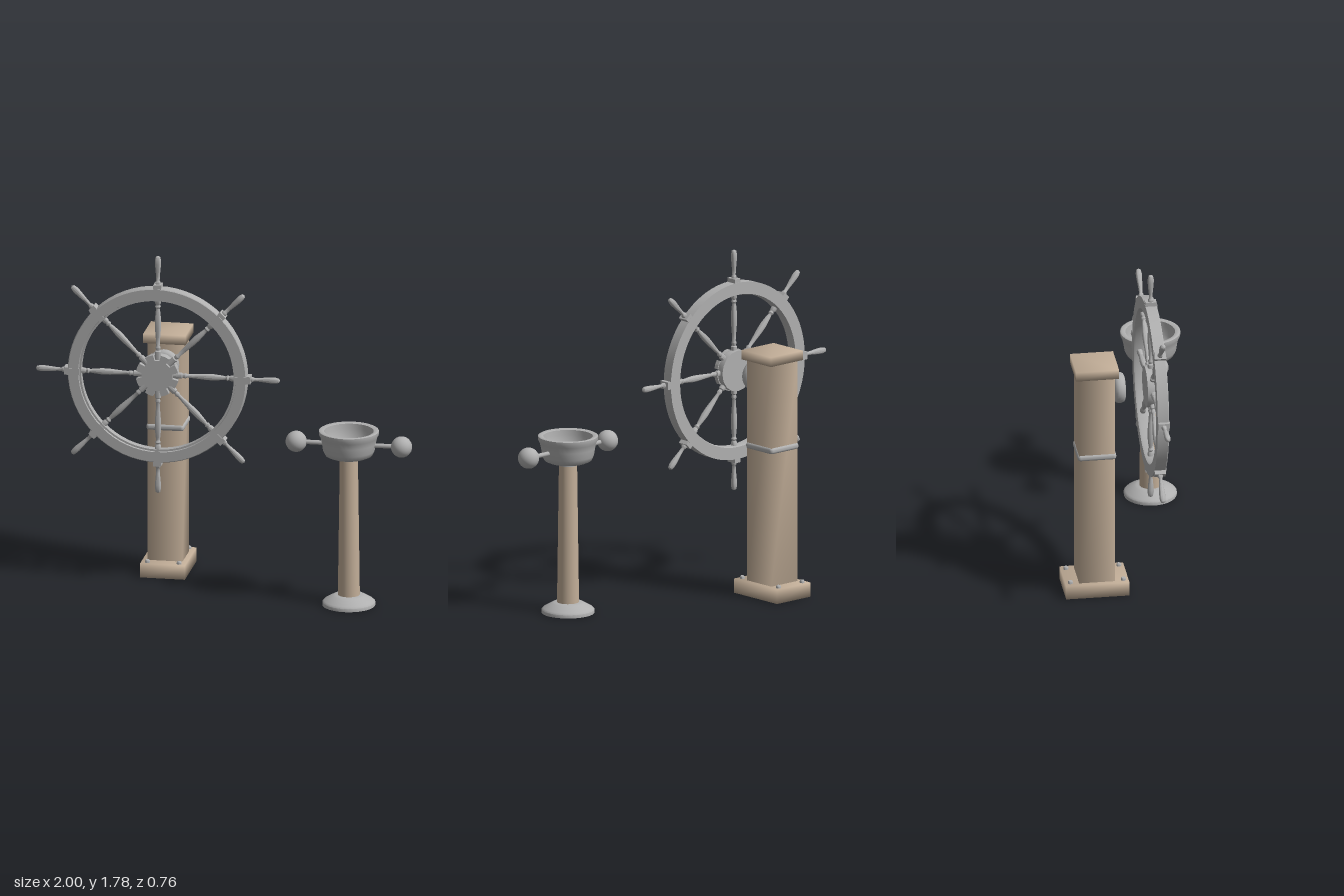
import * as THREE from 'three';
import { mergeVertices, toCreasedNormals } from 'three/addons/utils/BufferGeometryUtils.js';
import { RoundedBoxGeometry } from 'three/addons/geometries/RoundedBoxGeometry.js';

const wood = new THREE.MeshStandardMaterial({ color: 0xc2ae98 });
wood.name = 'wood';
const metal = new THREE.MeshStandardMaterial({ color: 0xb0b0b0 });
metal.name = 'metal';

function add(parent, name, geometry, material, x = 0, y = 0, z = 0) {
  const mesh = new THREE.Mesh(geometry, material);
  mesh.name = name;
  mesh.position.set(x, y, z);
  parent.add(mesh);
  return mesh;
}

function group(parent, name, x, y, z) {
  const g = new THREE.Group();
  g.name = name;
  g.position.set(x, y, z);
  parent.add(g);
  return g;
}

// Turned part around y, from [radius, height] pairs
function turned(points, segments = 32, crease = 0.7) {
  const g = new THREE.LatheGeometry(points.map(([r, h]) => new THREE.Vector2(r, h)), segments);
  return toCreasedNormals(g, crease);
}

// Box with normals shared across its corners
function softBox(w, h, d) {
  const g = new THREE.BoxGeometry(w, h, d);
  g.deleteAttribute('uv');
  g.deleteAttribute('normal');
  const merged = mergeVertices(g);
  merged.computeVertexNormals();
  return merged;
}

// Gear outline: eight teeth between the spokes, notched at each spoke
function notchedShape(outer, inner) {
  const points = [];
  for (let i = 0; i < 8; i++) {
    const a = (i * Math.PI) / 4;
    for (const [r, da] of [[inner, -0.15], [inner, 0.15], [outer, 0.19], [outer, 0.39], [outer, 0.595]]) {
      points.push(new THREE.Vector2(r * Math.cos(a + da), r * Math.sin(a + da)));
    }
  }
  return new THREE.Shape(points);
}

function buildWheel(parent) {
  const wheel = group(parent, 'steeringWheel', -0.36, 1.14, 0.077);

  // Rim with a small step on its inner edge
  const rim = turned([
    [0.468, -0.03], [0.468, 0.026], [0.464, 0.03], [0.412, 0.03], [0.41, 0.02],
    [0.4, 0.02], [0.4, -0.02], [0.404, -0.03], [0.468, -0.03],
  ], 64, 0.5);
  add(wheel, 'rim', rim, metal).rotation.x = Math.PI / 2;

  // Hub
  const back = new THREE.CylinderGeometry(0.108, 0.108, 0.035, 16);
  add(wheel, 'hubBack', toCreasedNormals(back, 0.5), metal, 0, 0, -0.012).rotation.x = Math.PI / 2;
  const front = new THREE.ExtrudeGeometry(notchedShape(0.112, 0.082), { depth: 0.025, bevelEnabled: false });
  add(wheel, 'hubFront', front, metal, 0, 0, 0.005);

  // Turned spoke and handle share one profile shape for all eight positions
  const spokeShape = turned([
    [0, 0.07], [0.016, 0.07], [0.016, 0.125], [0.01, 0.13], [0.014, 0.145], [0.009, 0.155],
    [0.012, 0.2], [0.016, 0.25], [0.017, 0.29], [0.012, 0.34], [0.009, 0.355],
    [0.015, 0.365], [0.011, 0.375], [0.016, 0.385], [0.016, 0.41], [0, 0.41],
  ], 12, 0.8);
  const handleShape = turned([
    [0, 0.47], [0.014, 0.485], [0.014, 0.498], [0.009, 0.505], [0.01, 0.53], [0.013, 0.56],
    [0.016, 0.595], [0.016, 0.615], [0.012, 0.633], [0, 0.64],
  ], 12, 0.9);
  const collarShape = new THREE.BoxGeometry(0.04, 0.03, 0.058);
  const plateShape = new THREE.BoxGeometry(0.034, 0.062, 0.004);
  for (let i = 0; i < 8; i++) {
    const arm = group(wheel, 'spokeArm', 0, 0, 0);
    arm.rotation.z = (i * Math.PI) / 4;
    add(arm, 'spoke', spokeShape, metal);
    add(arm, 'handle', handleShape, metal);
    add(arm, 'rimCollar', collarShape, metal, 0, 0.473, 0);
    add(arm, 'rimPlate', plateShape, metal, 0, 0.438, 0.031);
  }
}

function buildPedestal(parent) {
  const pedestal = group(parent, 'wheelPedestal', -0.36, 0, -0.215);
  add(pedestal, 'base', softBox(0.235, 0.075, 0.33), wood, 0, 0.0375, 0);
  add(pedestal, 'column', softBox(0.184, 1.19, 0.188), wood, 0, 0.665, 0);
  add(pedestal, 'cap', softBox(0.222, 0.05, 0.224), wood, 0, 1.273, 0);
  add(pedestal, 'band', new RoundedBoxGeometry(0.198, 0.036, 0.202, 3, 0.016), metal, 0, 0.793, 0);

  // Bolts at the corners of the base
  const bolt = turned([[0.013, 0], [0.013, 0.01], [0.009, 0.016], [0, 0.017]], 10);
  for (const x of [-0.083, 0.083]) {
    for (const z of [-0.138, 0.138]) add(pedestal, 'bolt', bolt, metal, x, 0.074, z);
  }

  // Round mount facing the wheel
  const mount = turned([
    [0, 0], [0.065, 0], [0.076, 0.008], [0.08, 0.02], [0.08, 0.036], [0.074, 0.05], [0.062, 0.056], [0, 0.056],
  ], 32, 0.9);
  add(pedestal, 'wheelMount', mount, metal, 0, 1.143, 0.099).rotation.x = Math.PI / 2;
}

function buildCompassStand(parent) {
  const stand = group(parent, 'compassStand', 0.667, 0, 0.222);
  add(stand, 'foot', turned([
    [0, 0], [0.137, 0], [0.137, 0.017], [0.128, 0.026], [0.083, 0.052], [0.07, 0.056], [0, 0.056],
  ], 32, 0.8), metal);
  add(stand, 'post', turned([[0.057, 0.05], [0.047, 0.79]], 24), wood);
  add(stand, 'collar', turned([[0, 0.783], [0.05, 0.783], [0.05, 0.805], [0, 0.805]], 24), metal);

  // Open bowl with a flared lip
  add(stand, 'bowl', turned([
    [0, 0.8], [0.1, 0.8], [0.122, 0.81], [0.134, 0.835], [0.14, 0.875], [0.147, 0.905], [0.155, 0.92],
    [0.155, 0.938], [0.147, 0.942], [0.128, 0.936], [0.125, 0.91], [0.118, 0.87], [0.1, 0.84], [0.06, 0.826], [0, 0.822],
  ], 40, 0.8), metal);
  add(stand, 'pivot', turned([[0.026, 0.82], [0.024, 0.83], [0.014, 0.838], [0, 0.84]], 16), metal);

  // Side balls on short arms
  for (const side of [-1, 1]) {
    const arm = new THREE.CylinderGeometry(0.012, 0.012, 0.12, 12);
    add(stand, 'ballArm', arm, metal, side * 0.184, 0.865, 0).rotation.z = Math.PI / 2;
    add(stand, 'ball', new THREE.SphereGeometry(0.055, 24, 16), metal, side * 0.276, 0.865, 0);
  }
}

export function createModel() {
  const model = new THREE.Group();
  model.name = 'shipHelm';
  buildWheel(model);
  buildPedestal(model);
  buildCompassStand(model);
  return model;
}
